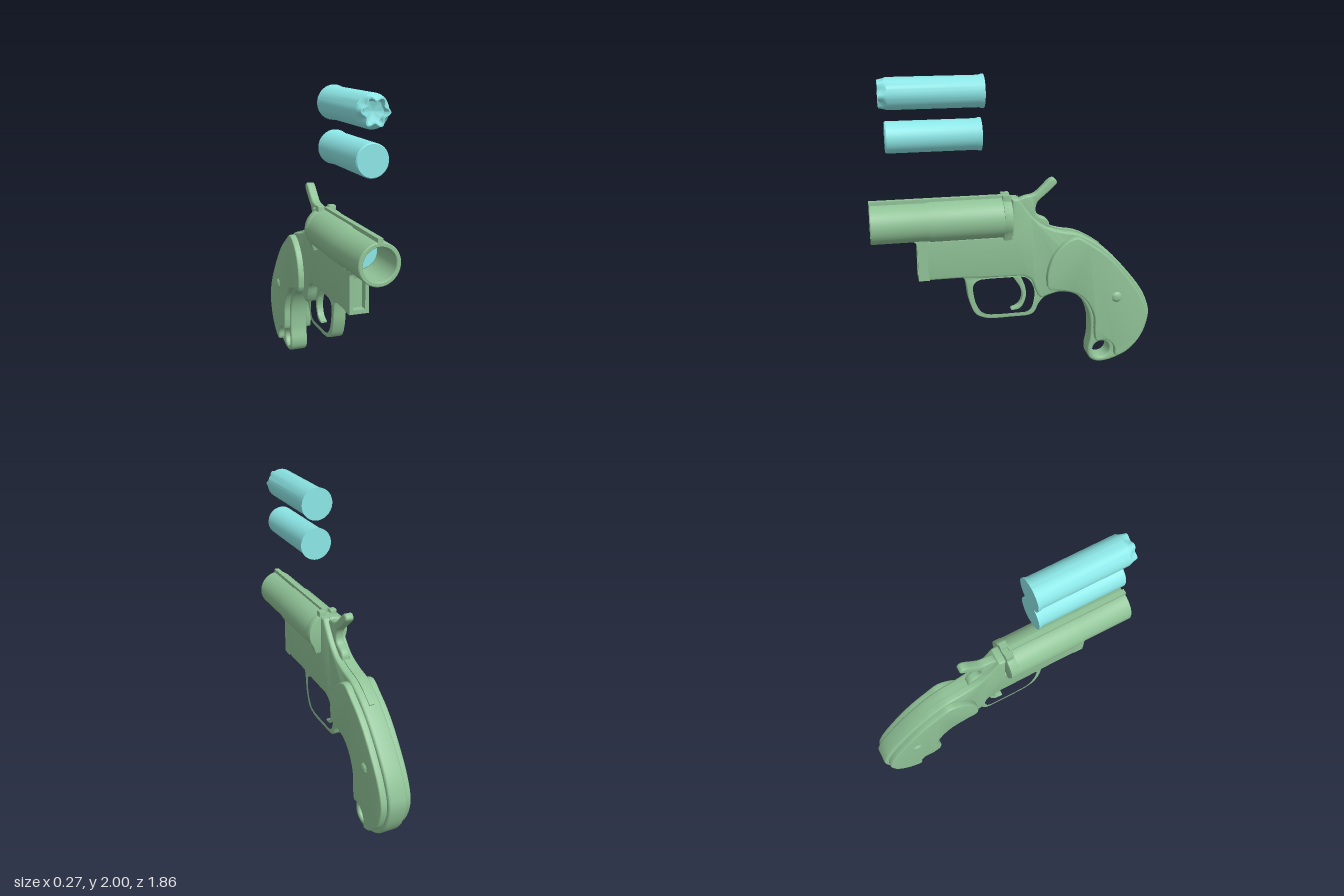
import * as THREE from 'three';
import { toCreasedNormals } from 'three/addons/utils/BufferGeometryUtils.js';

const green = new THREE.MeshStandardMaterial({ color: 0x8fc296 });
const cyan = new THREE.MeshStandardMaterial({ color: 0x8ce6e6 });

function mesh(name, geometry, material = green, crease = 0.6) {
  const m = new THREE.Mesh(toCreasedNormals(geometry, crease), material);
  m.name = name;
  return m;
}

// Smooth run of points through [z, y] pairs
function run(pts, n = 5) {
  return new THREE.SplineCurve(pts.map(p => new THREE.Vector2(...p))).getPoints(pts.length * n);
}
const corners = pts => pts.map(p => new THREE.Vector2(...p));

// Extrude a side profile (z, y) across x, centred on the given x
function slab(name, points, halfWidth, { holes = [], bevel = 0.01, x = 0 } = {}) {
  const shape = new THREE.Shape(points);
  holes.forEach(h => shape.holes.push(new THREE.Path(h)));
  const depth = 2 * (halfWidth - bevel);
  const g = new THREE.ExtrudeGeometry(shape, {
    depth, bevelEnabled: bevel > 0, bevelSize: bevel, bevelThickness: bevel,
    bevelOffset: -bevel, bevelSegments: 3
  });
  g.translate(0, 0, -depth / 2).rotateY(-Math.PI / 2).translate(x, 0, 0);
  return mesh(name, g);
}

// Lathe around the z axis from [radius, z] pairs
function turned(profile, y, segments = 48) {
  return new THREE.LatheGeometry(corners(profile), segments).rotateX(Math.PI / 2).translate(0, y, 0);
}

const circle = (z, y, r, n = 28) => Array.from({ length: n }, (_, i) => {
  const a = i / n * Math.PI * 2;
  return new THREE.Vector2(z + r * Math.cos(a), y + r * Math.sin(a));
});

// Cartridge with a flared rim at the back, flat or star-crimped at the front
function cartridge(name, y, back, front, crimped) {
  const profile = [[0, back], [0.105, back], [0.104, back + 0.012], [0.098, back + 0.03]];
  if (!crimped) {
    profile.push([0.098, front - 0.008], [0.092, front], [0, front]);
    return mesh(name, turned(profile, y), cyan);
  }
  profile.push([0.098, front - 0.05], [0.094, front - 0.03], [0.088, front], [0.078, front],
    [0.06, front - 0.03], [0, front - 0.05]);
  const g = turned(profile, 0, 72);
  const p = g.attributes.position;
  // Pull the mouth in between six points
  for (let i = 0; i < p.count; i++) {
    const px = p.getX(i), py = p.getY(i), pz = p.getZ(i);
    const t = Math.max(0, (pz - front + 0.05) / 0.05);
    if (t <= 0) continue;
    const s = 1 - 0.3 * t * (0.5 - 0.5 * Math.cos(6 * Math.atan2(py, px) + 0.4));
    p.setXY(i, px * s, py * s);
  }
  g.translate(0, y, 0);
  return mesh(name, g, cyan);
}

export function createModel() {
  const model = new THREE.Group();
  const add = (...m) => model.add(...m);

  // Barrel, hollow, with a slightly thicker chamber
  add(mesh('barrel', turned([
    [0.1, 0.07], [0.133, 0.07], [0.133, 0.55], [0.127, 0.58], [0.127, 0.925], [0.122, 0.93],
    [0.104, 0.93], [0.1, 0.925], [0.1, 0.07]], 1.08)));
  const rib = new THREE.BoxGeometry(0.032, 0.04, 0.85).translate(0, 1.21, 0.505);
  add(mesh('sightRib', rib));

  // Breech plate: disc with a sight tab on top and flats below
  const breech = new THREE.Shape();
  breech.moveTo(-0.06, 1.235);
  breech.lineTo(-0.06, 1.2);
  breech.absarc(0, 1.085, 0.135, Math.PI * 0.68, Math.PI * 1.2, false);
  breech.lineTo(-0.09, 0.95);
  breech.lineTo(0.09, 0.95);
  breech.absarc(0, 1.085, 0.135, -Math.PI * 0.2, Math.PI * 0.32, false);
  breech.lineTo(0.06, 1.2);
  breech.lineTo(0.06, 1.235);
  breech.lineTo(0.018, 1.235);
  breech.lineTo(0.014, 1.215);
  breech.lineTo(-0.014, 1.215);
  breech.lineTo(-0.018, 1.235);
  add(mesh('breechPlate', new THREE.ExtrudeGeometry(breech, {
    depth: 0.045, bevelSize: 0.005, bevelThickness: 0.005, bevelOffset: -0.005, bevelSegments: 2
  }).translate(0, 0, 0.04)));

  // Frame and grip core in one profile
  const spine = [[-0.015, 1.21], [-0.07, 1.13], [-0.13, 1.06], [-0.2, 1.01], [-0.3, 0.975],
    [-0.4, 0.955], [-0.49, 0.91], [-0.57, 0.855]];
  const lanyardHole = circle(-0.595, 0.1, 0.06);
  add(slab('frame', [
    ...corners([[0.59, 0.7], [0.59, 0.97], [0.03, 0.97], [0.03, 1.21]]),
    ...run([...spine, [-0.7, 0.735], [-0.85, 0.55], [-0.915, 0.42], [-0.928, 0.32], [-0.89, 0.19],
      [-0.81, 0.085], [-0.7, 0.025], [-0.59, 0.005], [-0.52, 0.035], [-0.5, 0.1], [-0.515, 0.2],
      [-0.51, 0.34], [-0.47, 0.45], [-0.4, 0.525], [-0.3, 0.55], [-0.22, 0.535], [-0.165, 0.52],
      [-0.13, 0.57], [-0.1, 0.65], [-0.04, 0.685]]),
    ...corners([[0.2, 0.69], [0.36, 0.7]])
  ], 0.062, { holes: [lanyardHole], bevel: 0.014 }));

  // Raised strip along the spine
  const strip = run(spine);
  add(slab('spineStrip', [
    ...strip.map(p => new THREE.Vector2(p.x - 0.004, p.y + 0.006)),
    ...strip.slice().reverse().map(p => new THREE.Vector2(p.x + 0.015, p.y - 0.03))
  ], 0.017, { bevel: 0 }));

  // Channelled front end of the frame
  const channel = new THREE.Shape(corners([[-0.062, 0.7], [0.062, 0.7], [0.062, 0.97], [0.038, 0.97],
    [0.038, 0.725], [-0.038, 0.725], [-0.038, 0.97], [-0.062, 0.97]]));
  add(mesh('frameFront', new THREE.ExtrudeGeometry(channel, { depth: 0.07, bevelEnabled: false })
    .translate(0, 0, 0.57)));
  add(slab('barrelLug', run([[0.66, 0.965], [0.645, 0.95], [0.635, 0.92]])
    .concat(corners([[0.57, 0.92], [0.57, 0.965]])), 0.062, { bevel: 0 }));

  // Trigger guard
  add(slab('triggerGuard', [
    ...run([[0.38, 0.702], [0.345, 0.685], [0.33, 0.63], [0.315, 0.53], [0.28, 0.44], [0.23, 0.405],
      [0.16, 0.39], [0.03, 0.39], [-0.08, 0.392], [-0.125, 0.415], [-0.15, 0.465], [-0.185, 0.51], [-0.24, 0.54]]),
    ...corners([[-0.22, 0.6], [-0.12, 0.71]])
  ], 0.042, {
    bevel: 0.007,
    holes: [run([[0.05, 0.682], [0.2, 0.682], [0.26, 0.672], [0.295, 0.63], [0.285, 0.53], [0.255, 0.46],
      [0.21, 0.422], [0.13, 0.412], [0.0, 0.412], [-0.07, 0.415], [-0.112, 0.45], [-0.13, 0.54],
      [-0.115, 0.62], [-0.06, 0.675], [0.04, 0.682]])]
  }));

  // Trigger
  add(slab('trigger', [
    ...run([[0.045, 0.7], [0.0, 0.64], [-0.035, 0.58], [-0.045, 0.52], [-0.02, 0.465], [0.03, 0.44]]),
    ...run([[0.03, 0.428], [-0.03, 0.44], [-0.065, 0.5], [-0.07, 0.56], [-0.055, 0.62], [-0.02, 0.7]])
  ], 0.022, { bevel: 0.004 }));

  // Hammer with thumb spur
  add(slab('hammer', [
    ...run([[-0.02, 1.2], [-0.06, 1.215], [-0.12, 1.228], [-0.17, 1.27], [-0.22, 1.318], [-0.25, 1.327],
      [-0.27, 1.305], [-0.26, 1.28], [-0.2, 1.225], [-0.145, 1.175], [-0.132, 1.12], [-0.15, 1.085],
      [-0.2, 1.06], [-0.222, 1.03], [-0.225, 1.0]]),
    ...corners([[-0.12, 1.02], [-0.03, 1.12]])
  ], 0.028, { bevel: 0.01 }));

  // Grip panels and their screws
  const panel = run([[-0.2, 0.61], [-0.2, 0.7], [-0.235, 0.81], [-0.31, 0.9], [-0.4, 0.937], [-0.49, 0.885],
    [-0.6, 0.805], [-0.71, 0.69], [-0.83, 0.53], [-0.893, 0.4], [-0.9, 0.3], [-0.855, 0.18], [-0.77, 0.09],
    [-0.69, 0.06], [-0.68, 0.12], [-0.645, 0.17], [-0.595, 0.188], [-0.55, 0.185], [-0.535, 0.25],
    [-0.53, 0.36], [-0.485, 0.465], [-0.41, 0.54], [-0.31, 0.572], [-0.22, 0.58]]);
  for (const side of [1, -1]) {
    const name = side > 0 ? 'left' : 'right';
    add(slab(name + 'GripPanel', panel, 0.03, { bevel: 0.01, x: side * 0.073 }));
    const screw = mesh(name + 'GripScrew', turned([[0.037, 0], [0.037, 0.012], [0.03, 0.02], [0.018, 0.025], [0, 0.027]], 0, 24));
    screw.position.set(side * 0.09, 0.5, -0.68);
    screw.rotation.y = side * Math.PI / 2;
    add(screw);
  }

  // Cartridges: one chambered, two floating above
  add(cartridge('chamberedCartridge', 1.08, 0.08, 0.67, false));
  add(cartridge('flatCartridge', 1.63, 0.22, 0.81, false));
  add(cartridge('crimpedCartridge', 1.895, 0.2, 0.84, true));
  return model;
}
